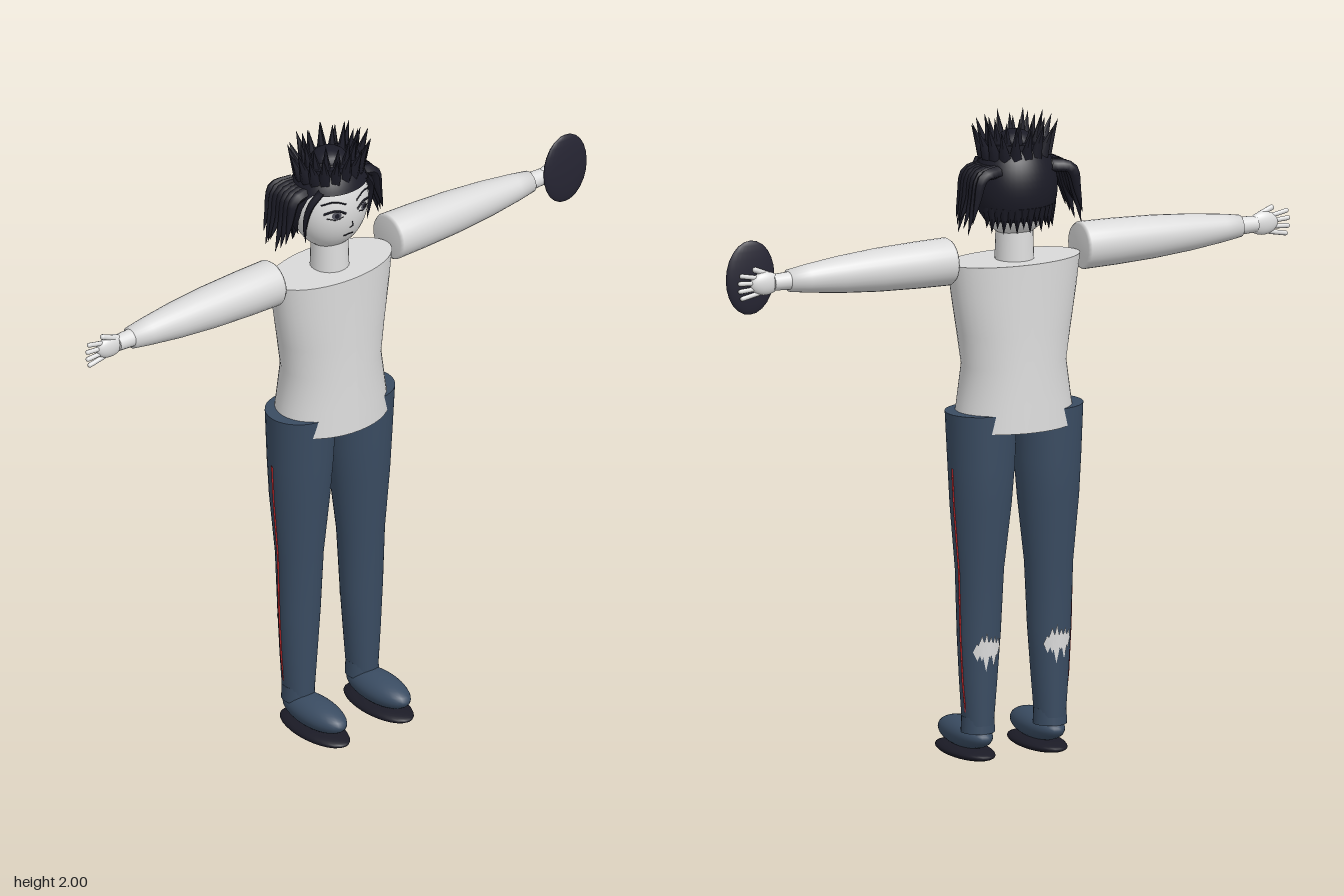
import * as THREE from 'three';

const CX = -0.015; // body centre line
const V = (x, y, z) => new THREE.Vector3(x, y, z);

function paint(name, color) {
  return new THREE.MeshStandardMaterial({ name, color, side: THREE.DoubleSide });
}

// Stacked ellipses [y, cx, cz, rx, rz], listed bottom to top, with flat caps
function loft(sections, segs = 32) {
  const pos = [], idx = [];
  const ring = ([y, cx, cz, rx, rz]) => {
    for (let i = 0; i <= segs; i++) {
      const a = (i / segs) * Math.PI * 2;
      pos.push(cx + rx * Math.sin(a), y, cz + rz * Math.cos(a));
    }
  };
  const n = segs + 1;
  sections.forEach(ring);
  for (let k = 0; k < sections.length - 1; k++) {
    for (let i = 0; i < segs; i++) {
      const a = k * n + i, b = a + 1, c = a + n, d = c + 1;
      idx.push(a, b, d, a, d, c);
    }
  }
  for (const s of [sections[0], sections[sections.length - 1]]) {
    const start = pos.length / 3;
    ring(s);
    pos.push(s[1], s[0], s[2]);
    for (let i = 0; i < segs; i++) {
      if (s === sections[0]) idx.push(start + n, start + i + 1, start + i);
      else idx.push(start + n, start + i, start + i + 1);
    }
  }
  const g = new THREE.BufferGeometry();
  g.setAttribute('position', new THREE.Float32BufferAttribute(pos, 3));
  g.setIndex(idx);
  g.computeVertexNormals();
  return g;
}

function bend(geo, rule) {
  const p = geo.attributes.position, v = V(0, 0, 0);
  for (let i = 0; i < p.count; i++) {
    v.fromBufferAttribute(p, i);
    rule(v);
    p.setXYZ(i, v.x, v.y, v.z);
  }
  geo.computeVertexNormals();
  return geo;
}

const ball = (rx, ry, rz, w = 28, h = 18) => new THREE.SphereGeometry(1, w, h).scale(rx, ry, rz);

// Cone from a base point to a tip
function spike(from, to, r, sides = 5) {
  const dir = to.clone().sub(from);
  const g = new THREE.ConeGeometry(r, dir.length(), sides);
  g.applyQuaternion(new THREE.Quaternion().setFromUnitVectors(V(0, 1, 0), dir.clone().normalize()));
  const m = from.clone().add(to).multiplyScalar(0.5);
  return g.translate(m.x, m.y, m.z);
}

// Curved lock that narrows to a point
function lock(points, r) {
  const curve = new THREE.CatmullRomCurve3(points), steps = 12, sides = 6;
  const g = new THREE.TubeGeometry(curve, steps, r, sides);
  let i = 0;
  return bend(g, (v) => {
    const t = Math.floor(i++ / (sides + 1)) / steps;
    v.lerp(curve.getPointAt(t), Math.pow(t, 2) * 0.97);
  });
}

export function createModel() {
  const model = new THREE.Group();
  const skin = paint('skin', 0xdedede), shirt = paint('shirt', 0xd9d9d9);
  const denim = paint('denim', 0x3a4c62), hair = paint('hair', 0x1b1b26);
  const dark = paint('darkDisc', 0x262533), red = paint('redStripe', 0xc8282c);
  const iris = paint('iris', 0x55555f);
  const add = (name, geo, mat, x = 0, y = 0, z = 0) => {
    const m = new THREE.Mesh(geo, mat);
    m.name = name;
    m.position.set(x, y, z);
    model.add(m);
    return m;
  };

  // Torso
  add('shirtBody', loft([
    [1.035, 0, -0.04, 0.194, 0.142], [1.12, 0, -0.04, 0.182, 0.136], [1.23, 0, -0.04, 0.167, 0.128],
    [1.33, 0, -0.04, 0.184, 0.123], [1.45, 0, -0.04, 0.205, 0.118], [1.55, 0, -0.04, 0.219, 0.115],
  ], 40), shirt, CX);
  add('neck', new THREE.CylinderGeometry(0.056, 0.06, 0.14, 28), skin, CX, 1.61, -0.045);

  // Legs
  const legProfile = [
    [0.12, 0.123, -0.042, 0.047, 0.053], [0.25, 0.122, -0.042, 0.058, 0.057], [0.4, 0.12, -0.042, 0.068, 0.062],
    [0.6, 0.118, -0.043, 0.075, 0.073], [0.8, 0.115, -0.045, 0.095, 0.091], [0.92, 0.113, -0.045, 0.103, 0.099],
    [1.09, 0.113, -0.043, 0.111, 0.105],
  ];
  for (const s of [-1, 1]) {
    const side = s > 0 ? 'left' : 'right';
    add(side + 'Leg', loft(legProfile.map(([y, x, z, a, b]) => [y, s * x, z, a, b])), denim, CX);
    add(side + 'Ankle', new THREE.CylinderGeometry(0.05, 0.052, 0.05, 24), denim, CX + s * 0.123, 0.12, -0.042);
    add(side + 'Shoe', ball(0.06, 0.046, 0.138), denim, CX + s * 0.123, 0.078, 0.038);
    add(side + 'Sole', ball(0.068, 0.022, 0.148), hair, CX + s * 0.123, 0.022, 0.039);

    // Outer seam stripe follows the leg
    const path = new THREE.CurvePath();
    const pts = legProfile.slice(0, 6).map(([y, x, , a]) => V(s * (x + a), Math.max(y, 0.16), -0.053));
    for (let i = 0; i < 5; i++) path.add(new THREE.LineCurve3(pts[i], pts[i + 1]));
    add(side + 'Stripe', new THREE.TubeGeometry(path, 40, 0.0035, 4), red, CX);

    // Torn patch on the calf: a row of narrow diamonds wrapped round the leg
    [0.03, 0.05, 0.035, 0.062, 0.04, 0.028].forEach((h, i) => {
      const g = new THREE.CircleGeometry(1, 4).scale(0.013, h, 1);
      bend(g, (v) => {
        const a = (v.x + (i - 2.5) * 0.014) / 0.067;
        const y = v.y + 0.365 - (i % 2) * 0.012;
        const grow = (y - 0.36) * 0.06;
        v.set(s * 0.12 + (0.069 + grow) * Math.sin(a), y, -0.042 - (0.065 + grow) * Math.cos(a));
      });
      add(side + 'CalfPatch', g, skin, CX);
    });

    // Arm, wrist and hand
    const turn = -s * Math.PI / 2;
    const sleeve = [[0, 0], [0.066, 0], [0.073, 0.01], [0.071, 0.12], [0.066, 0.25], [0.056, 0.38],
      [0.043, 0.49], [0.034, 0.55], [0, 0.55]].map(([r, h]) => new THREE.Vector2(r, h));
    add(side + 'Arm', new THREE.LatheGeometry(sleeve, 28).rotateZ(turn), shirt, CX + s * 0.22, 1.563, -0.043);
    add(side + 'Wrist', new THREE.CylinderGeometry(0.025, 0.028, 0.07, 20).rotateZ(turn), skin,
      CX + s * 0.79, 1.563, -0.043);
    add(side + 'Palm', ball(0.05, 0.036, 0.02), skin, CX + s * 0.85, 1.563, -0.043);
    for (let i = 0; i < 4; i++) {
      const y = (i - 1.5) * 0.015, len = [0.055, 0.068, 0.07, 0.06][i];
      const g = new THREE.CapsuleGeometry(0.0075, len, 4, 8).rotateZ(turn + s * (i - 1.5) * 0.13);
      add(side + 'Finger', g, skin, CX + s * 0.9, 1.558 + y * 1.3, -0.043);
    }
    add(side + 'Thumb', new THREE.CapsuleGeometry(0.009, 0.045, 4, 8).rotateZ(turn + s * 0.4), skin,
      CX + s * 0.86, 1.598, -0.038);
  }
  add('handDisc', ball(0.083, 0.115, 0.016, 24, 12), dark, 0.873, 1.58, -0.018);

  // Head
  const C = V(CX, 1.775, -0.047), R = V(0.125, 0.156, 0.11);
  add('head', ball(R.x, R.y, R.z, 36, 24), skin, C.x, C.y, C.z);
  const onFace = (x, y, lift = 0.003) =>
    V(x, y, R.z * Math.sqrt(Math.max(0, 1 - (x / R.x) ** 2 - (y / R.y) ** 2)) + lift);
  const line = (name, pts, r) => add(name, new THREE.TubeGeometry(
    new THREE.CatmullRomCurve3(pts.map(([x, y]) => onFace(x, y, 0.001))), 12, r, 5), hair, C.x, C.y, C.z);
  const plate = (name, x, y, rx, ry, lift, mat) => add(name, bend(new THREE.CircleGeometry(1, 20), (v) => {
    v.copy(onFace(x + v.x * rx, y + v.y * ry, lift));
  }), mat, C.x, C.y, C.z);
  for (const s of [-1, 1]) {
    plate('iris', s * 0.052, 0, 0.014, 0.013, 0.003, iris);
    plate('pupil', s * 0.052, 0, 0.007, 0.008, 0.005, hair);
    line('upperLid', [[s * 0.022, 0.002], [s * 0.05, 0.016], [s * 0.086, 0.007]], 0.0035);
    line('lowerLid', [[s * 0.03, -0.008], [s * 0.052, -0.015], [s * 0.078, -0.008]], 0.0015);
    line('eyebrow', [[s * 0.02, 0.032], [s * 0.055, 0.045], [s * 0.09, 0.036]], 0.0025);
  }
  line('nose', [[0.004, -0.035], [0.008, -0.052], [-0.003, -0.056]], 0.0015);
  line('mouth', [[-0.018, -0.085], [0, -0.082], [0.018, -0.085]], 0.002);

  // Hair cap: short over the brow, long down the back
  const cap = new THREE.SphereGeometry(1, 48, 16, 0, Math.PI * 2, 0, Math.PI / 2);
  bend(cap, (v) => {
    const a = Math.atan2(v.x, v.z), t = Math.acos(Math.min(1, v.y)) / (Math.PI / 2);
    const back = THREE.MathUtils.smoothstep(Math.abs(a), 1.05, 1.75);
    const th = t * THREE.MathUtils.lerp(1.14, 2.2, back);
    v.set(0.134 * Math.sin(th) * Math.sin(a), 0.16 * Math.cos(th), 0.118 * Math.sin(th) * Math.cos(a));
  });
  add('hairCap', cap, hair, C.x, C.y, C.z);

  // Pointed ends along the nape
  for (let i = 0; i <= 14; i++) {
    const a = Math.PI + (i / 14 - 0.5) * 2.5, sx = Math.sin(a), cz = Math.cos(a);
    add('napeTip', spike(V(0.112 * sx, -0.05, 0.1 * cz), V(0.118 * sx, -0.115 - (i % 2) * 0.015, 0.1 * cz), 0.018),
      hair, C.x, C.y, C.z);
  }

  // Flared side locks and thin strands by the cheeks
  for (const s of [-1, 1]) {
    for (let i = 0; i < 7; i++) {
      const z = 0.025 - i * 0.018, reach = 0.205 - Math.abs(i - 3) * 0.006;
      add('sideLock', lock([V(s * 0.09, 0.065, z * 0.8), V(s * 0.15, 0.055, z), V(s * 0.172, -0.02, z),
        V(s * reach, -0.085 - (i % 3) * 0.018, z)], 0.019), hair, C.x, C.y, C.z);
    }
    add('cheekStrand', lock([V(s * 0.085, 0.08, 0.07), V(s * 0.118, 0.03, 0.055), V(s * 0.125, -0.04, 0.04),
      V(s * 0.118, -0.1, 0.035)], 0.012), hair, C.x, C.y, C.z);
  }

  // Spiky crown on top, in two rings
  add('crownBase', new THREE.CylinderGeometry(0.1, 0.1, 0.06, 24).scale(1, 1, 0.78), hair, C.x, 1.885, C.z);
  add('crownBun', ball(0.056, 0.035, 0.056, 20, 10), hair, C.x, 1.915, C.z);
  [[18, 0.098, 0.138, 1.98], [14, 0.07, 0.095, 2.0]].forEach(([count, r0, r1, top], ring) => {
    for (let i = 0; i < count; i++) {
      const a = ((i + ring * 0.5) / count) * Math.PI * 2, x = Math.sin(a), z = Math.cos(a) * 0.78;
      const y = top - (i % 2) * 0.015;
      add('crownSpike', spike(V(r0 * x, 1.875, r0 * z), V(r1 * x, y, r1 * z), 0.021), hair, C.x, 0, C.z);
    }
  });
  return model;
}
